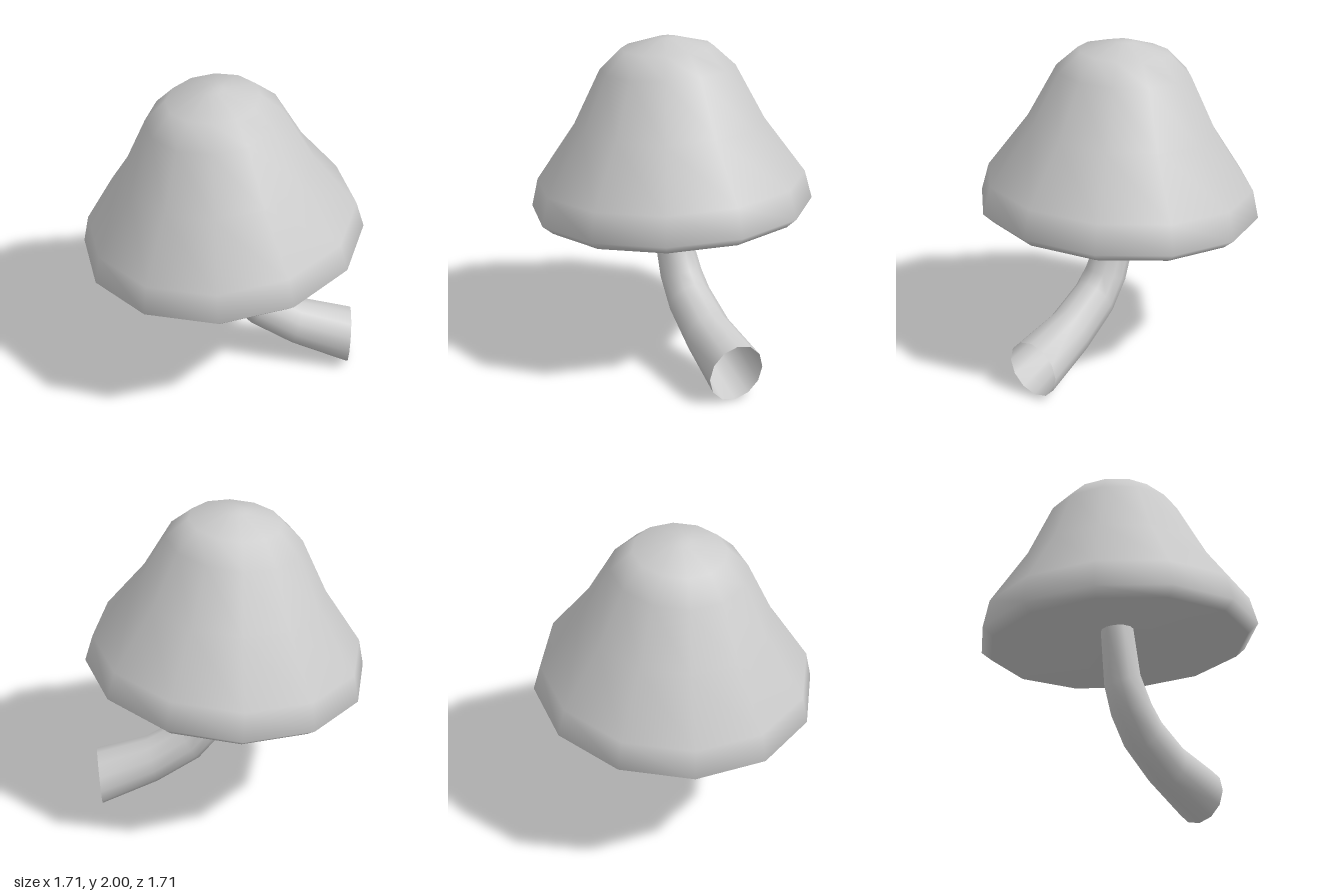
import * as THREE from 'three';

const SIDES = 12;
const material = new THREE.MeshStandardMaterial({ color: 0xcccccc, side: THREE.DoubleSide });

// Bell-shaped cap with a hollowed underside, leaning slightly to one side
function makeCap() {
  const profile = [
    [0, 0.12], [0.79, 0], [0.853, 0.055], [0.811, 0.225], [0.57, 0.565],
    [0.402, 0.895], [0.275, 1.015], [0.061, 1.075], [0, 1.076],
  ].map(([r, h]) => new THREE.Vector2(r, h));
  const geometry = new THREE.LatheGeometry(profile, SIDES);
  const lean = new THREE.Matrix4().set(
    1, -0.058, 0, 0.002,
    0.089, 1, 0, 0.92,
    0, 0, 1, 0,
    0, 0, 0, 1,
  );
  geometry.applyMatrix4(lean);
  const cap = new THREE.Mesh(geometry, material);
  cap.name = 'cap';
  return cap;
}

// Curved open stem; each cross-section is given by its inner and outer bend points
function makeStem() {
  const sections = [
    [-0.115, 1.03, 0.085, 1.04],
    [-0.065, 0.66, 0.14, 0.76],
    [0.01, 0.49, 0.24, 0.6],
    [0.17, 0.3, 0.3, 0.54],
    [0.44, 0.14, 0.5, 0.43],
    [0.797, 0, 0.815, 0.355],
  ];
  const positions = [];
  const indices = [];
  sections.forEach(([x0, y0, x1, y1], i) => {
    const radius = Math.hypot(x1 - x0, y1 - y0) / 2;
    for (let j = 0; j < SIDES; j++) {
      const angle = (j / SIDES) * Math.PI * 2;
      const t = (1 + Math.cos(angle)) / 2;
      positions.push(x0 + (x1 - x0) * t, y0 + (y1 - y0) * t, radius * Math.sin(angle));
      if (i === sections.length - 1) continue;
      const a = i * SIDES + j;
      const b = i * SIDES + ((j + 1) % SIDES);
      indices.push(a, b, a + SIDES, b, b + SIDES, a + SIDES);
    }
  });
  const geometry = new THREE.BufferGeometry();
  geometry.setAttribute('position', new THREE.Float32BufferAttribute(positions, 3));
  geometry.setIndex(indices);
  geometry.computeVertexNormals();
  const stem = new THREE.Mesh(geometry, material);
  stem.name = 'stem';
  return stem;
}

export function createModel() {
  const mushroom = new THREE.Group();
  mushroom.name = 'mushroom';
  mushroom.add(makeCap(), makeStem());
  return mushroom;
}
